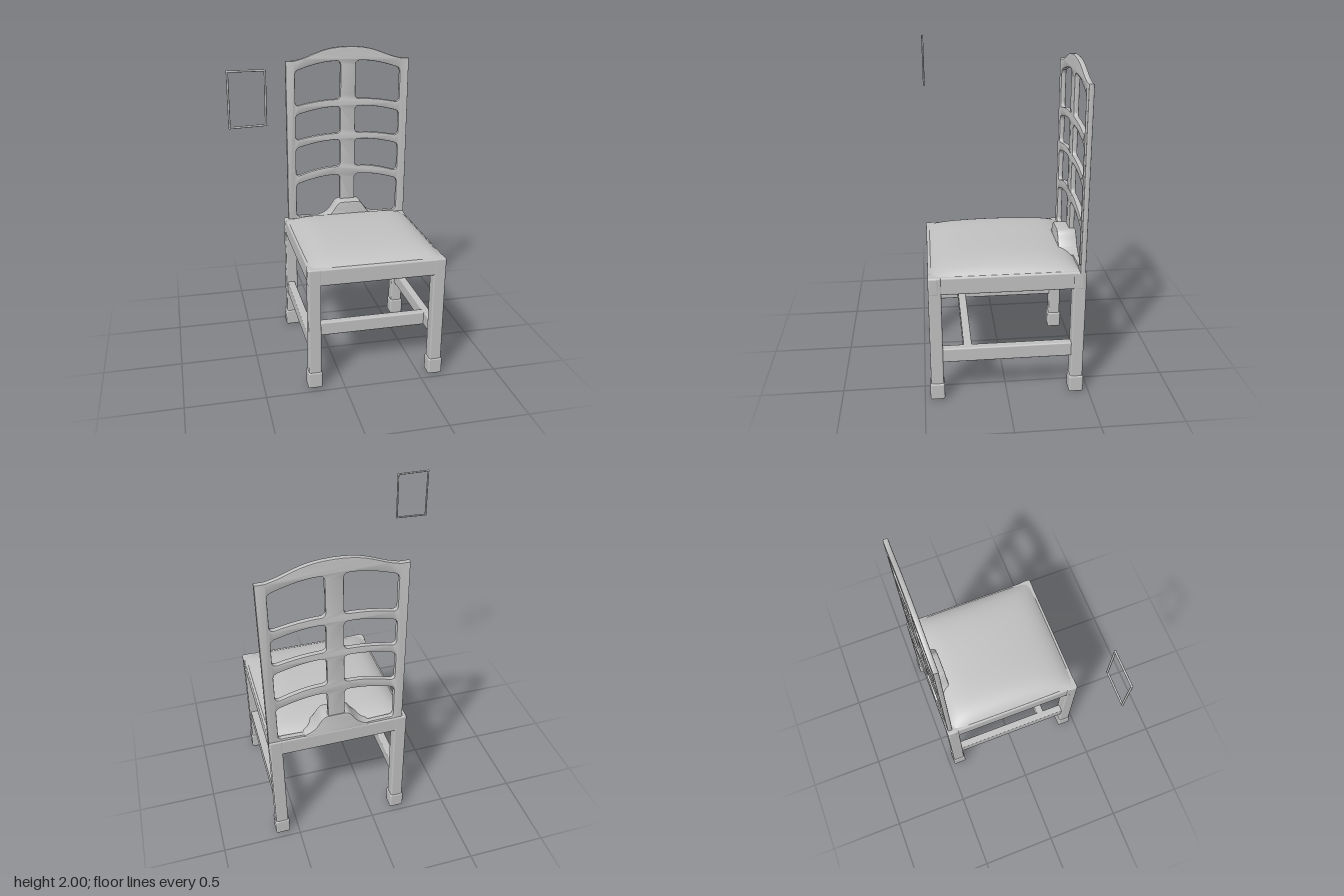
import * as THREE from 'three';
import { toCreasedNormals } from 'three/addons/utils/BufferGeometryUtils.js';
import { RoundedBoxGeometry } from 'three/addons/geometries/RoundedBoxGeometry.js';

export function createModel() {
  const model = new THREE.Group();
  const grey = new THREE.MeshStandardMaterial({ color: 0xc0c0c0 });
  grey.name = 'grey';

  const add = (name, geometry, parent = model) => {
    const mesh = new THREE.Mesh(geometry, grey);
    mesh.name = name;
    parent.add(mesh);
    return mesh;
  };
  // Softened box given by its lower and upper limits
  const block = (name, [x0, y0, z0], [x1, y1, z1], r, parent) => {
    const g = new RoundedBoxGeometry(x1 - x0, y1 - y0, z1 - z0, 2, r);
    g.translate((x0 + x1) / 2, (y0 + y1) / 2, (z0 + z1) / 2);
    return add(name, g, parent);
  };
  const extrude = (shape, z0, z1, bevel) => {
    const g = new THREE.ExtrudeGeometry(shape, {
      depth: z1 - z0 - 2 * bevel, bevelEnabled: true, bevelThickness: bevel,
      bevelSize: bevel, bevelOffset: -bevel, bevelSegments: 2, curveSegments: 10,
    });
    g.translate(0, 0, z0 + bevel);
    return toCreasedNormals(g, 0.7);
  };

  const chair = new THREE.Group();
  chair.name = 'chair';
  model.add(chair);
  const cx = 0.21; // centre line of the chair

  // Legs with square feet
  for (const sx of [-1, 1]) {
    for (const sz of [-1, 1]) {
      const leg = new THREE.Group();
      leg.name = (sz > 0 ? 'front' : 'back') + (sx > 0 ? 'Left' : 'Right') + 'Leg';
      chair.add(leg);
      const x = cx + sx * 0.394, z = sz * 0.423;
      block('shaft', [x - 0.039, 0.08, z - 0.038], [x + 0.039, 0.81, z + 0.038], 0.01, leg);
      block('foot', [x - 0.046, 0, z - 0.044], [x + 0.046, 0.11, z + 0.044], 0.012, leg);
    }
  }

  // Seat rails and recessed seat board
  for (const s of [-1, 1]) {
    const z = s * 0.43, x = cx + s * 0.4;
    block(s > 0 ? 'frontRail' : 'backRail', [-0.225, 0.7, z - 0.03], [0.645, 0.81, z + 0.03], 0.012, chair);
    block(s > 0 ? 'leftRail' : 'rightRail', [x - 0.03, 0.7, -0.46], [x + 0.03, 0.81, 0.46], 0.012, chair);
    block(s > 0 ? 'leftStretcher' : 'rightStretcher', [x - 0.025, 0.25, -0.41], [x + 0.025, 0.34, 0.41], 0.008, chair);
  }
  block('crossStretcher', [-0.19, 0.25, 0.21], [0.61, 0.34, 0.26], 0.008, chair);
  block('seatBoard', [-0.21, 0.73, -0.44], [0.63, 0.8, 0.44], 0.005, chair);

  // Domed cushion: a grid lifted by a rule
  const cushion = new THREE.PlaneGeometry(0.85, 0.88, 36, 36);
  cushion.rotateX(-Math.PI / 2);
  const p = cushion.attributes.position;
  for (let i = 0; i < p.count; i++) {
    const u = p.getX(i) / 0.425, v = p.getZ(i) / 0.44;
    const roll = (1 - u ** 8) * (1 - v ** 8), dome = (1 - u ** 4) * (1 - v ** 2);
    p.setY(i, 0.802 + 0.044 * roll + 0.034 * dome);
  }
  cushion.computeVertexNormals();
  cushion.translate(cx, 0, 0.01);
  add('cushion', cushion, chair);

  // Ladder back: arched outline with four pairs of openings
  const mid = 0.225, left = -0.196, right = 0.646;
  const back = new THREE.Shape();
  back.moveTo(left, 0.72);
  back.lineTo(right, 0.72);
  back.lineTo(right, 1.905);
  back.lineTo(right - 0.055, 1.905);
  back.bezierCurveTo(0.46, 1.93, 0.42, 1.99, mid, 1.99);
  back.bezierCurveTo(0.03, 1.99, -0.01, 1.93, left + 0.055, 1.905);
  back.lineTo(left, 1.905);
  back.closePath();

  // Each row: top outer, top inner, bottom outer, bottom inner heights
  const rows = [
    [1.84, 1.897, 1.605, 1.642],
    [1.545, 1.592, 1.372, 1.408],
    [1.315, 1.362, 1.118, 1.172],
    [1.06, 1.112, 0.82, 0.82],
  ];
  for (const s of [-1, 1]) {
    for (const [to, ti, bo, bi] of rows) {
      const xo = mid + s * 0.36, xi = mid + s * 0.052, xm = mid + s * 0.19, r = 0.03;
      const a = xo - s * r, b = xi + s * r;
      const hole = new THREE.Path();
      hole.moveTo(xo, bo + r);
      hole.lineTo(xo, to - r);
      hole.quadraticCurveTo(xo, to, a, to + 0.008);
      hole.quadraticCurveTo(xm, ti, b, ti);
      hole.quadraticCurveTo(xi, ti, xi, ti - r);
      hole.lineTo(xi, bi + r);
      hole.quadraticCurveTo(xi, bi, b, bi);
      hole.quadraticCurveTo(xm, bi, a, bo + 0.006);
      hole.quadraticCurveTo(xo, bo, xo, bo + r);
      back.holes.push(hole);
    }
  }
  add('ladderBack', extrude(back, -0.452, -0.42, 0.007), chair);

  // Shoe at the foot of the splat, flared on both sides
  const shoe = new THREE.Shape();
  shoe.moveTo(mid - 0.2, 0.78);
  shoe.lineTo(mid + 0.2, 0.78);
  shoe.lineTo(mid + 0.2, 0.82);
  shoe.bezierCurveTo(mid + 0.1, 0.84, mid + 0.11, 0.935, mid + 0.055, 0.935);
  shoe.lineTo(mid - 0.055, 0.935);
  shoe.bezierCurveTo(mid - 0.11, 0.935, mid - 0.1, 0.84, mid - 0.2, 0.82);
  shoe.closePath();
  add('splatShoe', extrude(shoe, -0.458, -0.34, 0.008), chair);

  // Thin free-standing rectangular frame
  const frame = new THREE.Group();
  frame.name = 'wireFrame';
  model.add(frame);
  const corners = [[-0.643, 1.69], [-0.445, 1.698], [-0.443, 1.993], [-0.643, 1.993]]
    .map(([x, y]) => new THREE.Vector3(x, y, 0.443));
  corners.forEach((c, i) => {
    const next = corners[(i + 1) % 4];
    add('frameBar', new THREE.TubeGeometry(new THREE.LineCurve3(c, next), 1, 0.006, 8), frame);
    add('frameCorner', new THREE.SphereGeometry(0.007, 10, 8), frame).position.copy(c);
  });

  return model;
}
